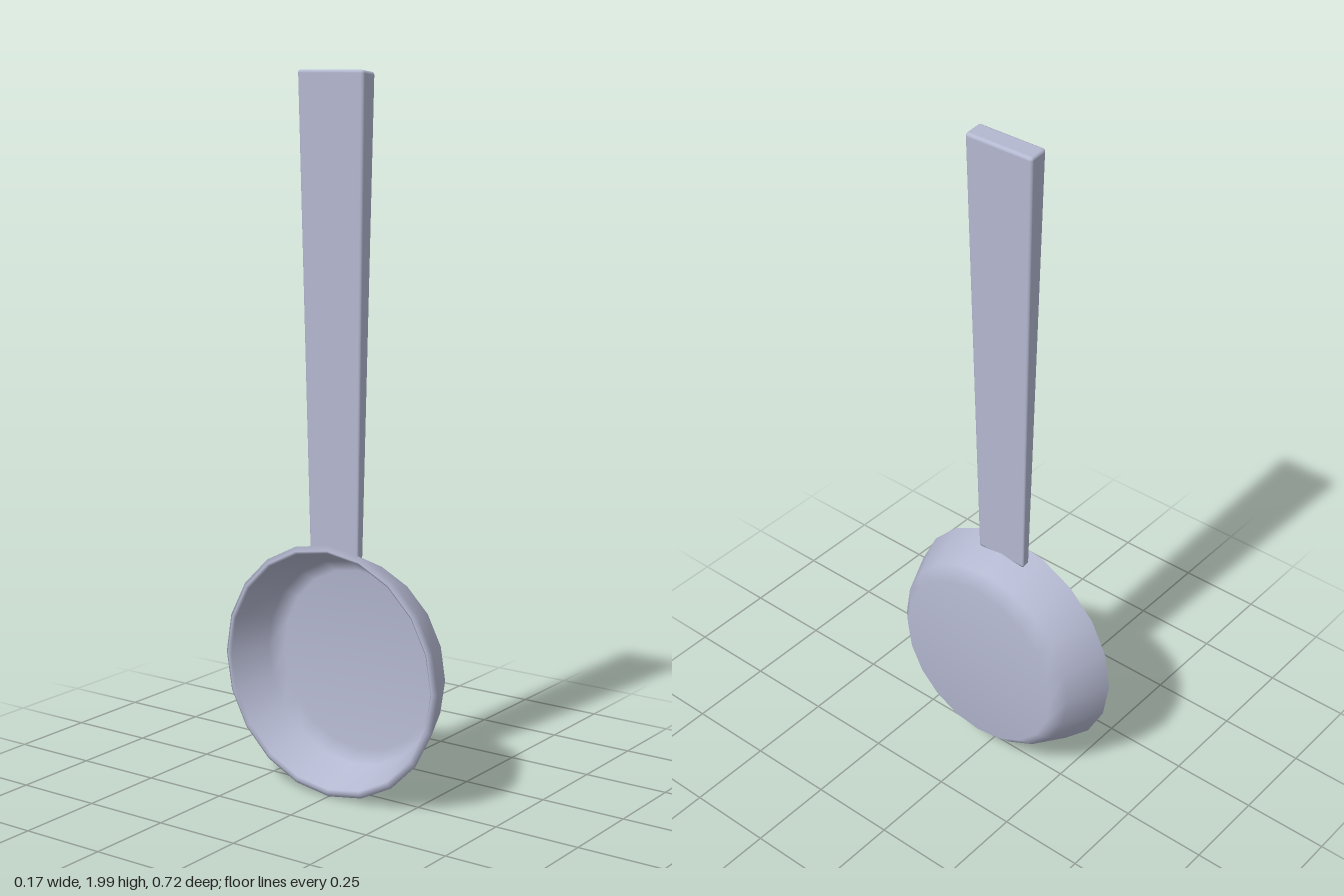
import * as THREE from 'three';
import { RoundedBoxGeometry } from 'three/addons/geometries/RoundedBoxGeometry.js';

export function createModel() {
  const group = new THREE.Group();
  const metal = new THREE.MeshStandardMaterial({ color: 0xb4b8d0 });
  metal.name = 'pale blue grey metal';

  // Pan: closed 20-sided lathe, outer floor to rim and down to the inner floor
  const profile = [
    [0, -0.083], [0.268, -0.083], [0.304, -0.047], [0.359, 0.074],
    [0.346, 0.084], [0.338, 0.078], [0.294, -0.036], [0.26, -0.07], [0, -0.07],
  ].map(([r, h]) => new THREE.Vector2(r, h));
  const panGeometry = new THREE.LatheGeometry(profile, 20);
  panGeometry.rotateZ(Math.PI / 2); // opening faces -x
  const pan = new THREE.Mesh(panGeometry, metal);
  pan.name = 'pan';
  pan.position.set(0, 0.363, 0);
  group.add(pan);

  // Handle: rounded bar that widens and thickens towards the top
  const length = 1.313;
  const handleGeometry = new RoundedBoxGeometry(0.058, length, 0.214, 3, 0.009);
  const p = handleGeometry.attributes.position;
  for (let i = 0; i < p.count; i++) {
    const t = p.getY(i) / length + 0.5;
    const x = p.getX(i);
    p.setX(i, x * THREE.MathUtils.lerp(0.43, 1, t));
    p.setZ(i, p.getZ(i) * THREE.MathUtils.lerp(0.75, 1, t));
    p.setY(i, p.getY(i) - (x + 0.029) * 0.12 * t); // slightly sloping end
  }
  const handle = new THREE.Mesh(handleGeometry, metal);
  handle.name = 'handle';
  handle.position.set(-0.037, 2 - length / 2, 0);
  group.add(handle);

  return group;
}
